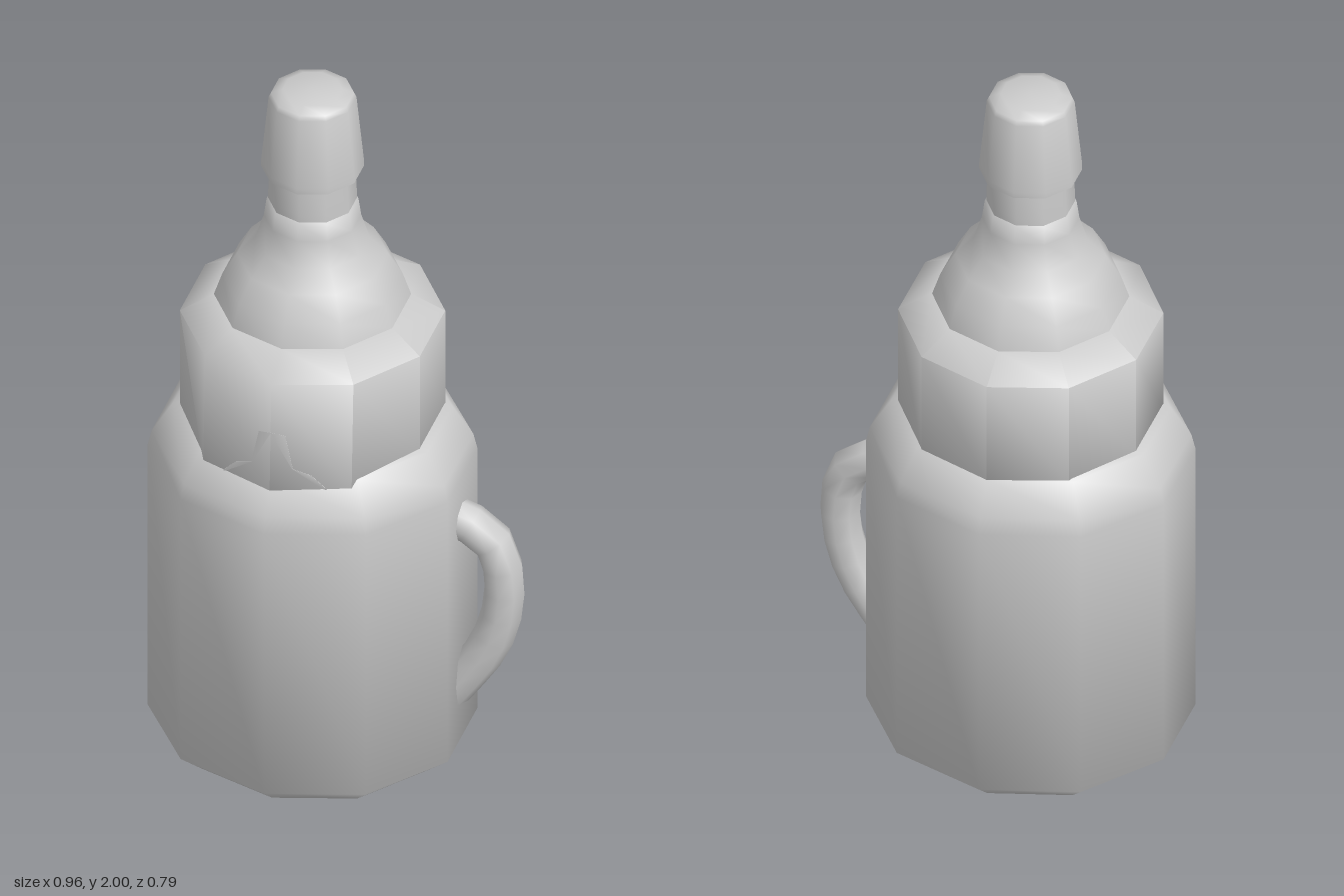
import * as THREE from 'three';
import { toCreasedNormals } from 'three/addons/utils/BufferGeometryUtils.js';

const AXIS_X = -0.08; // the bottle sits left of centre to make room for the handle
const SIDES = 10;

export function createModel() {
  const model = new THREE.Group();
  model.name = 'handledBottle';
  const material = new THREE.MeshStandardMaterial({ color: 0xcccccc });

  const add = (name, geometry, crease = 1.1) => {
    const mesh = new THREE.Mesh(toCreasedNormals(geometry, crease), material);
    mesh.name = name;
    model.add(mesh);
    return mesh;
  };

  // Ten-sided turned part from [radius, height] pairs, listed bottom to top
  const turned = (profile, stretchX = 1) => {
    const points = profile.map(([r, y]) => new THREE.Vector2(r, y));
    return new THREE.LatheGeometry(points, SIDES).scale(stretchX, 1, 1).translate(AXIS_X, 0, 0);
  };

  // Body with a stepped, rippled foot and rounded shoulder
  add('body', turned([
    [0, 0.015], [0.05, 0.02], [0.06, 0.005], [0.09, 0.005], [0.11, 0.025], [0.22, 0.02],
    [0.24, 0], [0.26, 0.008], [0.33, 0.012], [0.395, 0.07], [0.395, 0.88],
    [0.385, 0.925], [0.335, 1.01], [0.29, 1.03],
  ], 1.06));

  // Collar: its lower front flares out slightly and dips
  const collar = turned([[0.3, 0.98], [0.335, 1.0], [0.335, 1.305], [0.25, 1.357], [0.2, 1.357]]);
  const p = collar.attributes.position;
  for (let i = 0; i < p.count; i++) {
    if (p.getY(i) < 1.1 && p.getZ(i) > 0.15) {
      p.setZ(i, p.getZ(i) + 0.015);
      p.setY(i, p.getY(i) - 0.02);
    }
  }
  add('collar', collar);

  // Low raised splash wrapped around the front edge of the collar
  const splash = new THREE.Shape([
    [-0.15, 0.975], [0, 0.965], [0.15, 0.975], [0.1, 1.03], [0.055, 1.05], [0.035, 1.15],
    [0, 1.16], [-0.035, 1.15], [-0.055, 1.05], [-0.1, 1.03],
  ].map(([x, y]) => new THREE.Vector2(x, y)));
  const splashGeometry = new THREE.ExtrudeGeometry(splash, { depth: 0.012, bevelEnabled: false });
  const s = splashGeometry.attributes.position;
  for (let i = 0; i < s.count; i++) {
    const lean = 0.05 * (1.16 - s.getY(i));
    s.setZ(i, s.getZ(i) + 0.33 + lean - 0.325 * Math.abs(s.getX(i)));
  }
  add('frontSplash', splashGeometry.translate(AXIS_X, 0, 0));

  // Domed shoulder running into the slim throat
  add('dome', turned([
    [0.2, 1.355], [0.249, 1.357], [0.228, 1.42], [0.19, 1.485], [0.145, 1.535],
    [0.123, 1.605], [0.116, 1.655], [0.1, 1.665],
  ]));
  add('neck', turned([[0.112, 1.64], [0.112, 1.68], [0.107, 1.78]]));

  // Tapered stopper
  add('stopper', turned([
    [0.095, 1.765], [0.13, 1.758], [0.13, 1.775], [0.111, 1.972], [0.105, 1.985], [0.075, 1.997], [0, 2],
  ]));

  // Side handle, both ends sunk into the body
  const path = new THREE.CatmullRomCurve3([
    [0.27, 0.755], [0.34, 0.735], [0.405, 0.685], [0.428, 0.59], [0.423, 0.48], [0.385, 0.36], [0.29, 0.21],
  ].map(([x, y]) => new THREE.Vector3(x, y, 0)));
  add('handle', new THREE.TubeGeometry(path, 9, 0.053, 8));

  return model;
}
